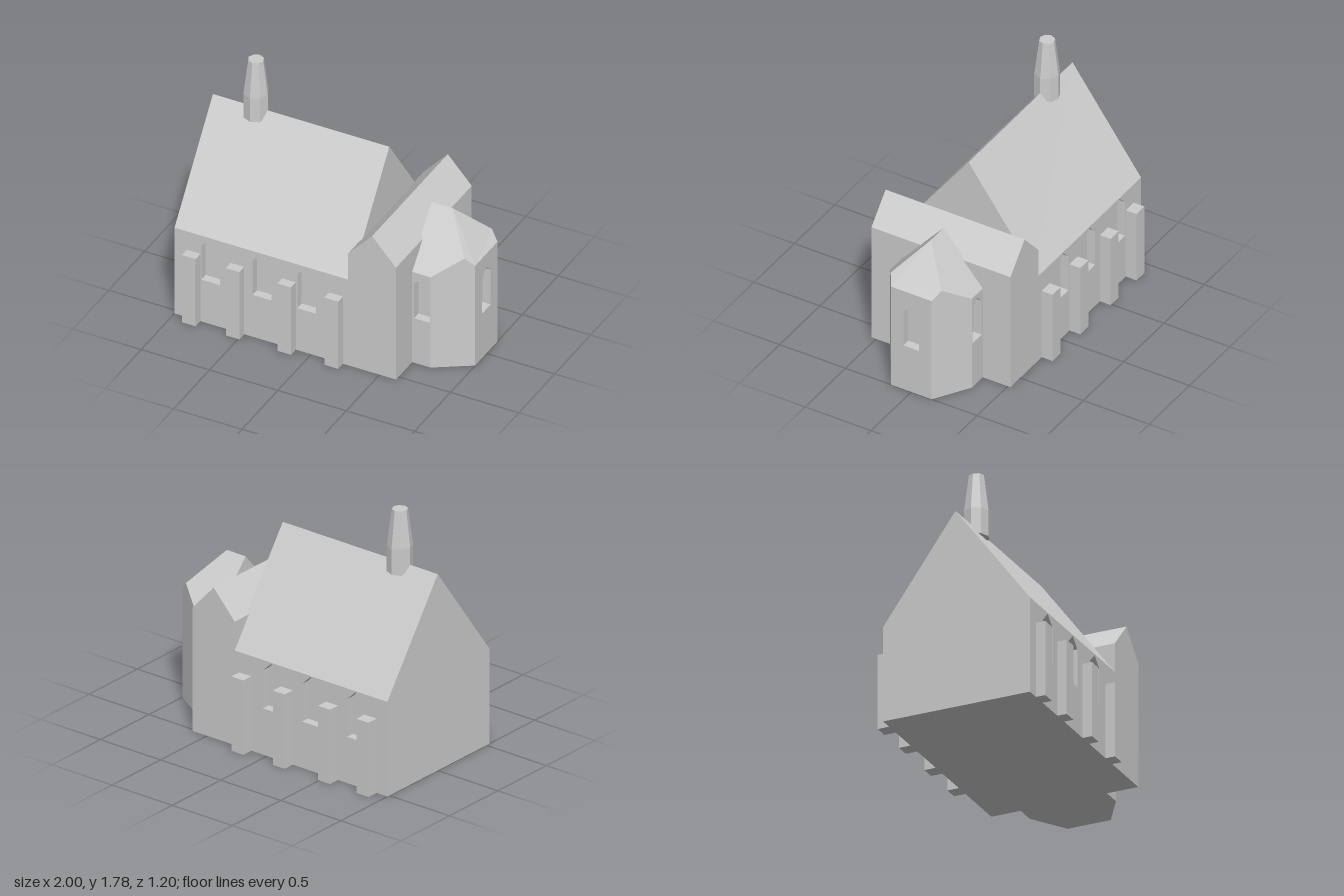
import * as THREE from 'three';

export function createModel() {
  const model = new THREE.Group();
  model.name = 'chapel';
  const stone = new THREE.MeshStandardMaterial({ color: 0xcccccc });
  stone.name = 'pale stone';

  const add = (name, geometry, parent = model) => {
    const mesh = new THREE.Mesh(geometry, stone);
    mesh.name = name;
    parent.add(mesh);
    return mesh;
  };

  // Flat convex polygons, each a counter-clockwise list of [x, y, z]
  const faces = (name, polygons, parent) => {
    const pos = [];
    for (const p of polygons)
      for (let i = 1; i < p.length - 1; i++) pos.push(...p[0], ...p[i], ...p[i + 1]);
    const g = new THREE.BufferGeometry();
    g.setAttribute('position', new THREE.Float32BufferAttribute(pos, 3));
    g.computeVertexNormals();
    return add(name, g, parent);
  };
  const mirrorZ = (p) => p.map(([x, y, z]) => [x, y, -z]).reverse();

  const polygon = (pts) => new THREE.Shape(pts.map(([x, y]) => new THREE.Vector2(x, y)));

  // Upright wall facing local +z, with pointed window niches at the given centres
  const wall = (name, position, turn, x0, x1, height, centres, width, sill, shoulder, peak) => {
    const group = new THREE.Group();
    group.name = name;
    group.position.set(...position);
    group.rotation.y = turn;
    model.add(group);
    const depth = 0.06, h = width / 2;
    const shape = polygon([[x0, 0], [x1, 0], [x1, height], [x0, height]]);
    for (const c of centres) {
      const o = [[c - h, sill], [c + h, sill], [c + h, shoulder], [c, peak], [c - h, shoulder]];
      shape.holes.push(polygon(o));
      const jambs = o.map(([ax, ay], i) => {
        const [bx, by] = o[(i + 1) % o.length];
        return [[ax, ay, 0], [bx, by, 0], [bx, by, -depth], [ax, ay, -depth]];
      });
      faces('windowNiche', [...jambs, o.map(([x, y]) => [x, y, -depth])], group);
    }
    add('wallFace', new THREE.ShapeGeometry(shape), group);
  };

  // Nave
  const zF = 0.535, zB = -0.52, eave = 0.675, ridge = 1.4, west = -1, east = 0.29;
  const naveWindows = [-0.735, -0.36, -0.033];
  wall('naveFrontWall', [0, 0, zF], 0, west, 0.27, eave, naveWindows, 0.138, 0.33, 0.6, 0.667);
  wall('naveBackWall', [0, 0, zB], Math.PI, -0.27, -west, eave,
    naveWindows.map((x) => -x), 0.138, 0.33, 0.6, 0.667);
  const gable = (x) => [[x, 0, zB], [x, 0, zF], [x, eave, zF], [x, ridge, 0], [x, eave, zB]];
  faces('naveGables', [gable(west), gable(east).reverse()]);
  faces('naveRoof', [
    [[west, eave, zF], [0.27, eave, zF], [east, eave + 0.02, zF - 0.015], [east, ridge, 0], [west, ridge, 0]],
    [[east, eave + 0.02, zB + 0.015], [0.27, eave, zB], [west, eave, zB], [west, ridge, 0], [east, ridge, 0]],
  ]);
  faces('naveFloor', [[[west, 0, zB], [0.27, 0, zB], [0.27, 0, zF], [west, 0, zF]]]);

  // Buttresses along both long walls
  for (const x of [-0.86, -0.54, -0.163, 0.182])
    for (const [inner, outer] of [[zF, 0.602], [zB, -0.602]])
      add('buttress', new THREE.BoxGeometry(0.1, 0.53, Math.abs(outer - inner)))
        .position.set(x, 0.265, (inner + outer) / 2);

  // Transept with its own cross gable
  const transept = new THREE.ExtrudeGeometry(
    polygon([[0.27, 0], [0.62, 0], [0.62, 0.88], [0.445, 1.073], [0.27, 0.88]]),
    { depth: zF - zB, bevelEnabled: false });
  add('transept', transept).position.z = zB;

  // Apse: two side walls, two slanted walls, an end wall and a hipped roof
  const a0 = 0.6, a1 = 0.755, aw = 0.31, ew = 0.155;
  wall('apseFrontWall', [0, 0, aw], 0, a0, a1, 0.71, [0.692], 0.116, 0.35, 0.62, 0.68);
  wall('apseBackWall', [0, 0, -aw], Math.PI, -a1, -a0, 0.71, [-0.692], 0.116, 0.35, 0.62, 0.68);
  wall('apseEndWall', [1, 0, 0], Math.PI / 2, -ew, ew, 0.785, [0], 0.12, 0.35, 0.625, 0.68);
  const slant = [[a1, 0, aw], [1, 0, ew], [1, 0.785, ew], [0.94, 0.845, 0.193], [a1, 0.71, aw]];
  faces('apseSlantedWalls', [slant, mirrorZ(slant)]);
  const slope = [[a0, 0.71, aw], [a1, 0.71, aw], [0.94, 0.845, 0.193], [a1, 1.065, 0], [a0, 1.065, 0]];
  const hip = [[1, 0.785, ew], [1, 0.785, -ew], [0.94, 0.845, -0.193], [a1, 1.065, 0], [0.94, 0.845, 0.193]];
  faces('apseRoof', [slope, mirrorZ(slope), hip]);
  faces('apseGable', [[[a0, 0, -aw], [a0, 0, aw], [a0, 0.71, aw], [a0, 1.065, 0], [a0, 0.71, -aw]]]);
  faces('apseFloor', [[[0.62, 0, -aw], [a1, 0, -aw], [1, 0, -ew], [1, 0, ew], [a1, 0, aw], [0.62, 0, aw]]]);

  // Eight-sided ridge turret: straight base and tapering top
  const turret = new THREE.Group();
  turret.name = 'ridgeTurret';
  turret.position.set(-0.685, 0, 0);
  model.add(turret);
  const drum = (name, rTop, rBottom, y0, y1) => {
    const g = new THREE.CylinderGeometry(rTop, rBottom, y1 - y0, 8).toNonIndexed();
    g.translate(0, (y0 + y1) / 2, 0);
    const p = g.attributes.position;
    // Lift the two outer corners of the foot
    for (let i = 0; i < p.count; i++)
      if (Math.abs(p.getX(i)) > 0.08 && p.getY(i) < 1.34) p.setY(i, 1.36);
    g.computeVertexNormals();
    add(name, g, turret);
  };
  drum('turretBase', 0.086, 0.086, 1.335, 1.52);
  drum('turretTaper', 0.053, 0.086, 1.52, 1.778);

  return model;
}
